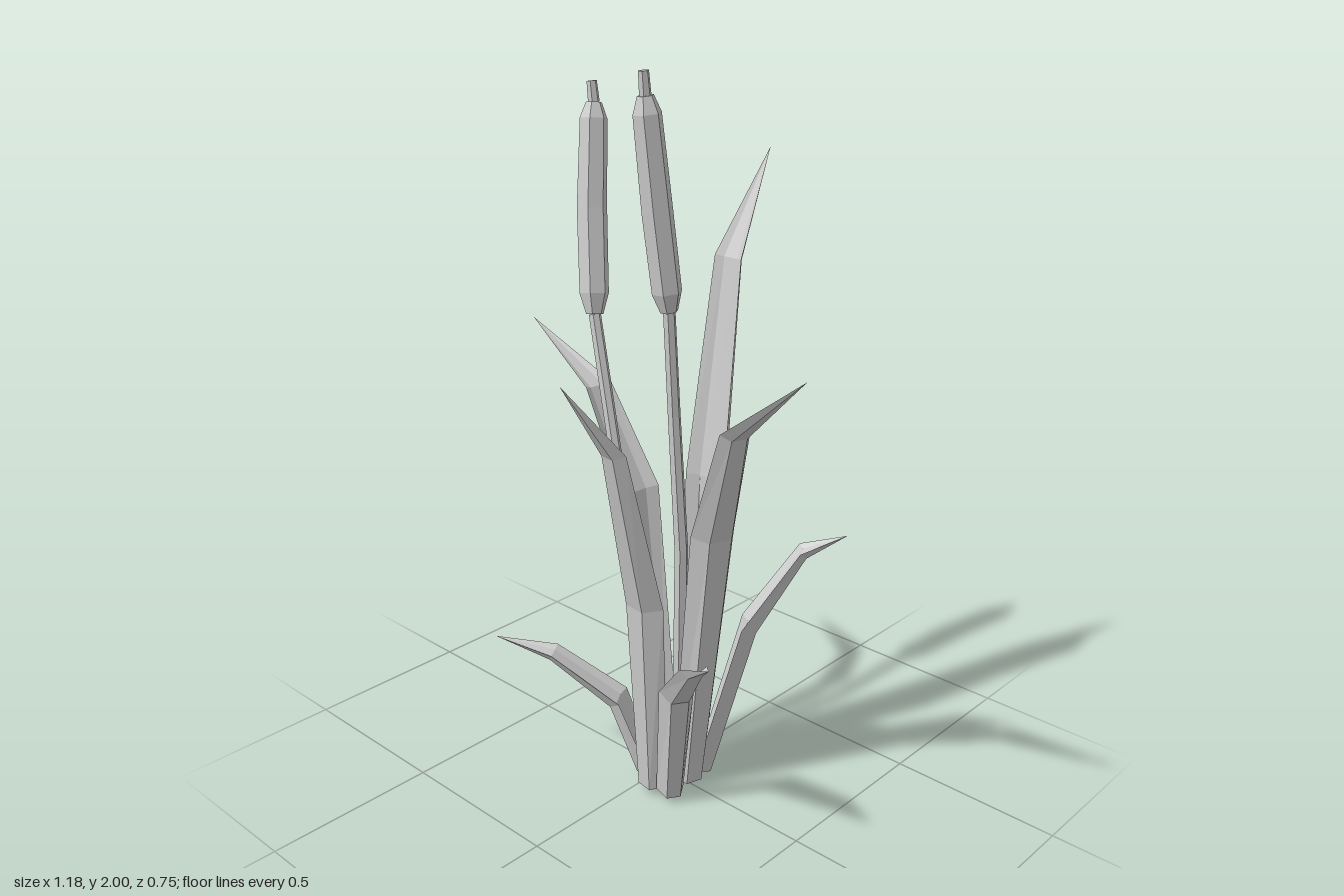
import * as THREE from 'three';

const V = (a) => new THREE.Vector3(...a);
const UP = new THREE.Vector3(0, 1, 0);

// Tangents along a polyline, averaged at inner points
function tangents(pts) {
  return pts.map((p, i) => {
    const t = new THREE.Vector3();
    if (i > 0) t.add(p.clone().sub(pts[i - 1]).normalize());
    if (i < pts.length - 1) t.add(pts[i + 1].clone().sub(p).normalize());
    return t.normalize();
  });
}

// Closed skin over rings of equal size, capped at both ends
function loft(rings, name) {
  const n = rings[0].length, pos = [], idx = [];
  rings.forEach((r) => r.forEach((p) => pos.push(p.x, p.y, p.z)));
  for (let i = 0; i < rings.length - 1; i++) {
    for (let j = 0; j < n; j++) {
      const a = i * n + j, b = i * n + (j + 1) % n;
      idx.push(a, b, b + n, a, b + n, a + n);
    }
  }
  const last = (rings.length - 1) * n;
  for (let j = 1; j < n - 1; j++) {
    idx.push(0, j + 1, j, last, last + j, last + j + 1);
  }
  const geo = new THREE.BufferGeometry();
  geo.setAttribute('position', new THREE.Float32BufferAttribute(pos, 3));
  geo.setIndex(idx);
  const flat = geo.toNonIndexed();
  flat.computeVertexNormals();
  const mat = new THREE.MeshStandardMaterial({ color: 0xcccccc, flatShading: true, side: THREE.DoubleSide });
  const mesh = new THREE.Mesh(flat, mat);
  mesh.name = name;
  return mesh;
}

// Blade with an arched six-point section that cups the stems
function leaf(points, widths, depth, name) {
  const pts = points.map(V);
  const dir = pts[3].clone().sub(pts[0]).setY(0).normalize();
  const side = dir.clone().cross(UP);
  const ts = tangents(pts);
  const rings = pts.map((p, i) => {
    const w = widths[i], d = w ? depth * [1, 1, 0.6][i] : 0;
    const n = ts[i].clone().cross(side).normalize();
    const section = [[-w, -d], [-w * 0.5, -d * 0.2], [w * 0.5, -d * 0.2], [w, -d], [w * 0.5, d], [-w * 0.5, d]];
    // reversed halves keep the outline counter-clockwise around the blade
    return section.map(([a, b]) => p.clone().addScaledVector(side, a).addScaledVector(n, b));
  });
  return loft(rings, name);
}

// Six-sided rod through points [x, y, z, radius]
function rod(points, name) {
  const pts = points.map((p) => V(p.slice(0, 3)));
  const ts = tangents(pts);
  const rings = pts.map((p, i) => {
    const n = ts[i].clone().cross(new THREE.Vector3(1, 0, 0)).normalize();
    const s = n.clone().cross(ts[i]);
    return Array.from({ length: 6 }, (_, k) => {
      const a = (k * Math.PI) / 3, r = points[i][3];
      return p.clone().addScaledVector(s, r * Math.cos(a)).addScaledVector(n, r * Math.sin(a));
    });
  });
  return loft(rings, name);
}

// Reed: stem, bent seed head with tapered ends, and a short spike
function reed(stem, head, tip) {
  const g = new THREE.Group();
  g.name = 'reed';
  const [a, b, c] = head.map(V);
  const lo = a.clone().lerp(b, 0.2), hi = c.clone().lerp(b, 0.15);
  g.add(rod([...stem, [...head[0], 0.017]], 'stem'));
  g.add(rod([[...a, 0.024], [...lo, 0.041], [...b, 0.042], [...hi, 0.038], [...c, 0.022]], 'seedHead'));
  g.add(rod([[...c, 0.016], [...tip, 0.014]], 'spike'));
  return g;
}

export function createModel() {
  const model = new THREE.Group();
  model.name = 'reedPlant';

  // Leaves: base, middle, knee and tip
  const tall = [0.048, 0.068, 0.046, 0];
  const small = [0.04, 0.05, 0.037, 0];
  model.add(
    leaf([[0.04, 0, -0.1], [0.045, 0.9, -0.145], [0.022, 1.5, -0.245], [0.04, 1.78, -0.375]], tall, 0.026, 'backLeaf'),
    leaf([[0.045, 0.02, 0.1], [0.03, 0.6, 0.12], [0.045, 1.08, 0.24], [0.01, 1.29, 0.378]], tall, 0.024, 'frontLeaf'),
    leaf([[0.11, 0.02, 0], [0.2, 0.82, 0.005], [0.31, 1.15, 0.06], [0.59, 1.38, 0.155]], tall, 0.022, 'leftLeaf'),
    leaf([[-0.04, 0.02, -0.04], [-0.17, 0.82, -0.07], [-0.325, 1.1, -0.07], [-0.595, 1.25, -0.08]], tall, 0.022, 'rightLeaf'),
    leaf([[0.1, 0.02, -0.07], [0.205, 0.5, -0.135], [0.3, 0.72, -0.245], [0.4, 0.78, -0.31]], small, 0.022, 'backLeftLeaf'),
    leaf([[0.12, 0.02, 0.09], [0.18, 0.38, 0.13], [0.32, 0.55, 0.225], [0.42, 0.62, 0.283]], small, 0.022, 'frontLeftLeaf'),
    leaf([[-0.025, 0.02, 0.05], [-0.09, 0.24, 0.095], [-0.245, 0.375, 0.2], [-0.4, 0.405, 0.28]], small, 0.02, 'frontRightLeaf'),
  );

  // Two flowering reeds
  model.add(
    reed([[0.02, 0.02, -0.05, 0.022], [0.02, 0.7, -0.055, 0.02], [0, 1.1, -0.045, 0.018]],
      [[-0.005, 1.39, -0.03], [-0.028, 1.65, -0.01], [-0.048, 1.94, 0.012]], [-0.05, 2, 0.016]),
    reed([[0, 0.02, 0.01, 0.022], [-0.06, 0.45, 0.025, 0.02], [-0.135, 0.92, 0.035, 0.018]],
      [[-0.245, 1.345, 0.008], [-0.298, 1.62, -0.04], [-0.33, 1.89, -0.085]], [-0.337, 1.945, -0.085]),
  );
  return model;
}
